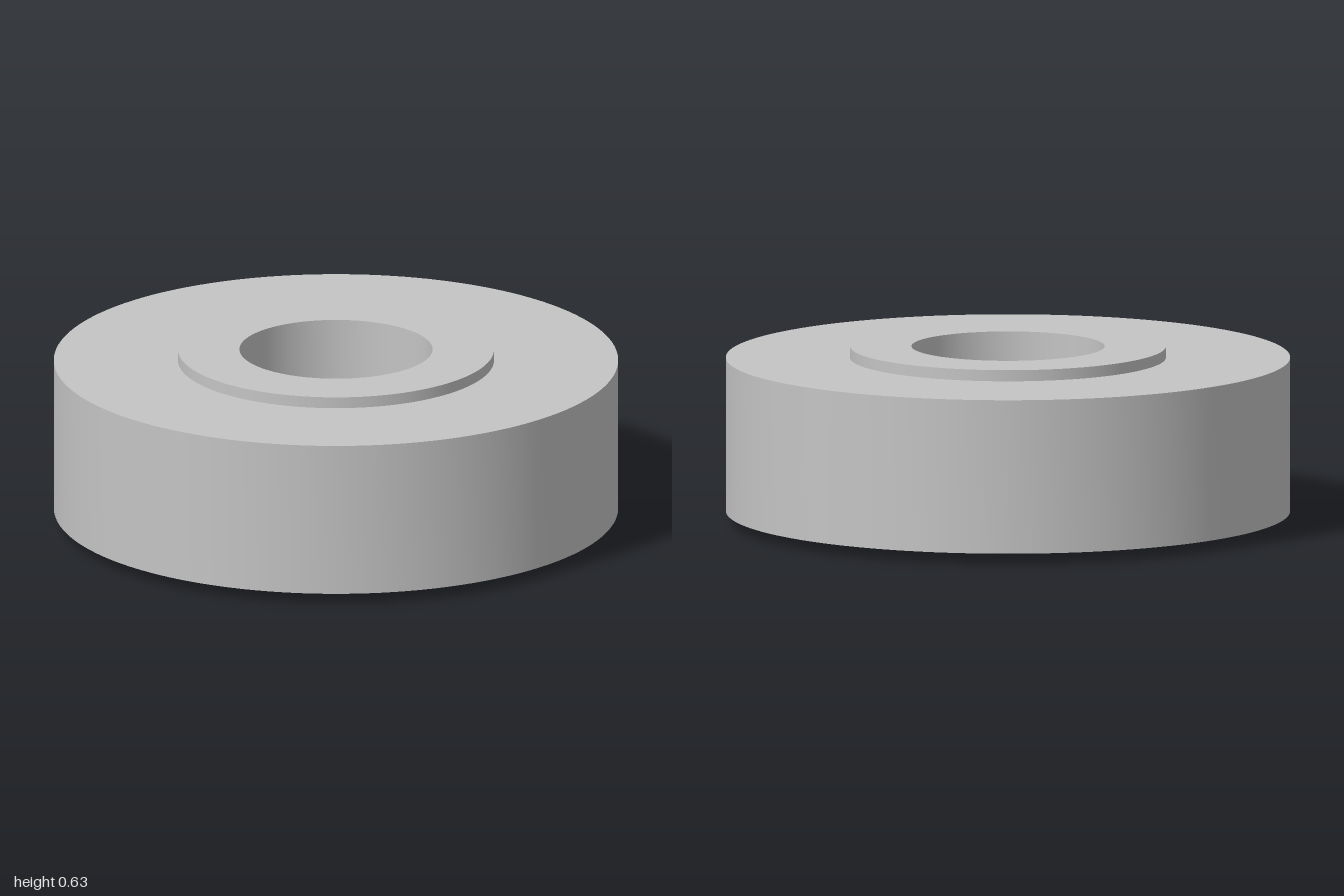
import * as THREE from 'three';
import { toCreasedNormals } from 'three/addons/utils/BufferGeometryUtils.js';

const SEGMENTS = 128;
const OUTER = 1, COLLAR = 0.56, BORE = 0.342;
const COLLAR_HEIGHT = 0.04, HEIGHT = 0.63;

export function createModel() {
  const group = new THREE.Group();
  group.name = 'rollerWheel';

  const grey = new THREE.MeshStandardMaterial({ color: 0xc4c4c4 });
  grey.name = 'light grey';

  // Revolves a [radius, height] profile, keeping its corners sharp
  function addRevolved(name, profile) {
    const points = profile.map(([r, y]) => new THREE.Vector2(r, y));
    const geometry = toCreasedNormals(new THREE.LatheGeometry(points, SEGMENTS), 0.6);
    const mesh = new THREE.Mesh(geometry, grey);
    mesh.name = name;
    group.add(mesh);
  }

  const low = COLLAR_HEIGHT, high = HEIGHT - COLLAR_HEIGHT;

  // Wide rim with flat top and bottom faces
  addRevolved('rim', [[COLLAR, low], [OUTER, low], [OUTER, high], [COLLAR, high]]);

  // Raised collars on both faces
  addRevolved('lowerCollar', [[BORE, 0], [COLLAR, 0], [COLLAR, low]]);
  addRevolved('upperCollar', [[COLLAR, high], [COLLAR, HEIGHT], [BORE, HEIGHT]]);

  // Through-hole wall, facing the axis
  addRevolved('bore', [[BORE, HEIGHT], [BORE, 0]]);

  return group;
}
